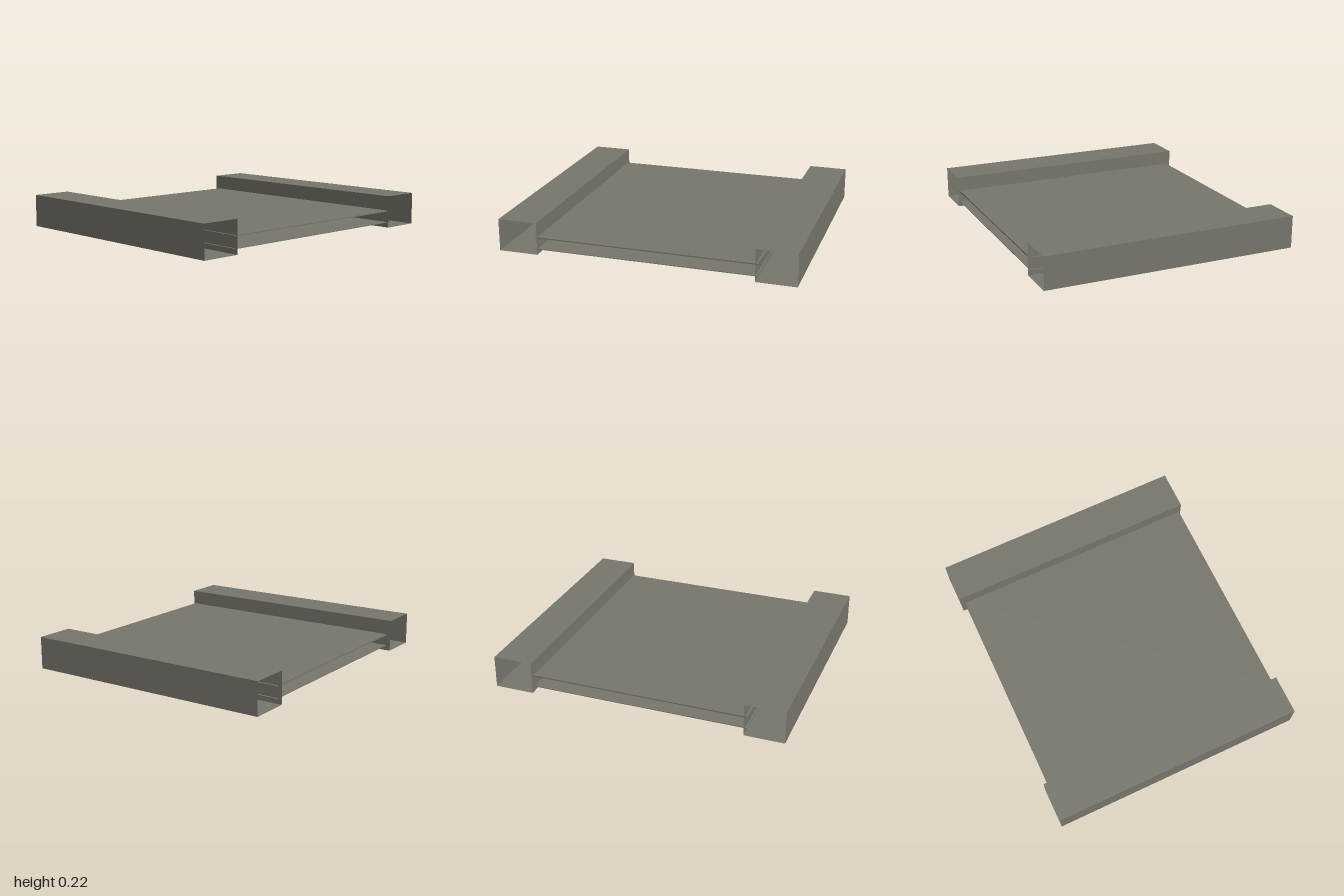
import * as THREE from 'three';

export function createModel() {
  const model = new THREE.Group();
  const metal = new THREE.MeshStandardMaterial({ color: 0x78776d, side: THREE.DoubleSide });
  metal.name = 'warm grey metal';

  const add = (name, geometry, x, y, z) => {
    const mesh = new THREE.Mesh(geometry, metal);
    mesh.name = name;
    mesh.position.set(x, y, z);
    model.add(mesh);
  };

  // Thin-walled rectangular side rails, open at the front and back
  const width = 0.268, height = 0.22;
  const rail = new THREE.BoxGeometry(width, height, 1.746);
  rail.setIndex(Array.from(rail.index.array).slice(0, 24)); // keep the four long walls
  rail.clearGroups();
  for (const [name, side] of [['leftRail', 1], ['rightRail', -1]]) {
    add(name, rail, side * (1 - width / 2), height / 2, 0);
  }

  // Two thin panels whose edges pass just through the rails' inner walls
  add('upperPanel', new THREE.BoxGeometry(1.49, 0.008, 1.706), 0, 0.115, 0.009);
  add('lowerPanel', new THREE.BoxGeometry(1.49, 0.004, 1.706), 0, 0.036, 0.009);

  return model;
}
